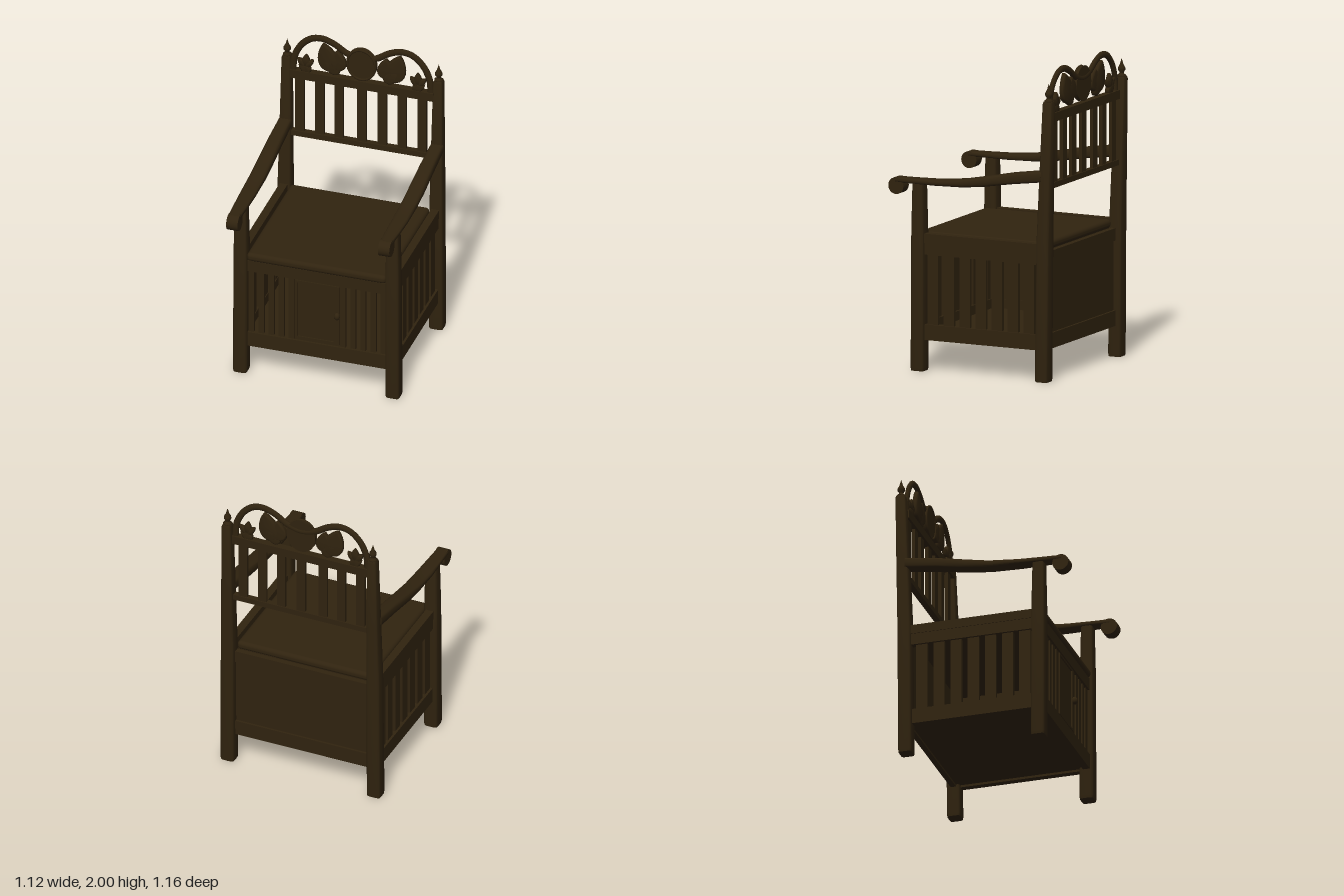
import * as THREE from 'three';
import { toCreasedNormals } from 'three/addons/utils/BufferGeometryUtils.js';
import { RoundedBoxGeometry } from 'three/addons/geometries/RoundedBoxGeometry.js';

const darkWood = new THREE.MeshStandardMaterial({ color: 0x30230f });
darkWood.name = 'darkWood';

export function createModel() {
  const chair = new THREE.Group();
  chair.name = 'armchair';

  function add(name, geometry, x = 0, y = 0, z = 0, parent = chair) {
    const mesh = new THREE.Mesh(geometry, darkWood);
    mesh.name = name;
    mesh.position.set(x, y, z);
    parent.add(mesh);
    return mesh;
  }

  // Box given by its extents
  function box(name, x0, x1, y0, y1, z0, z1, parent = chair) {
    return add(name, new THREE.BoxGeometry(x1 - x0, y1 - y0, z1 - z0),
      (x0 + x1) / 2, (y0 + y1) / 2, (z0 + z1) / 2, parent);
  }

  // Loft of rounded rectangles along y: rows of [y, x, z, width, depth]
  function loft(rows, power = 0.35) {
    const n = 20, pos = [], index = [];
    for (const [y, x, z, w, d] of rows) {
      for (let i = 0; i < n; i++) {
        const a = (i / n) * Math.PI * 2, c = Math.cos(a), s = Math.sin(a);
        pos.push(x + Math.sign(c) * Math.abs(c) ** power * w / 2, y,
          z + Math.sign(s) * Math.abs(s) ** power * d / 2);
      }
    }
    for (let r = 0; r < rows.length - 1; r++) {
      for (let i = 0; i < n; i++) {
        const a = r * n + i, b = r * n + (i + 1) % n;
        index.push(a, a + n, b, b, a + n, b + n);
      }
    }
    const last = (rows.length - 1) * n;
    for (let i = 1; i < n - 1; i++) {
      index.push(0, i, i + 1, last, last + i + 1, last + i);
    }
    const g = new THREE.BufferGeometry();
    g.setAttribute('position', new THREE.Float32BufferAttribute(pos, 3));
    g.setIndex(index);
    return toCreasedNormals(g, 0.7);
  }

  // Thin carved shape with softened edges, centred on its own z
  function carve(shape, depth, bevel) {
    const g = new THREE.ExtrudeGeometry(shape, {
      depth, bevelEnabled: true, bevelSize: bevel, bevelOffset: -bevel,
      bevelThickness: bevel, bevelSegments: 3, curveSegments: 10,
    });
    g.translate(0, 0, -depth / 2);
    return toCreasedNormals(g, 0.8);
  }

  // Pointed oval leaf, base at the origin, tip at +y
  function leaf(length, width) {
    const s = new THREE.Shape();
    s.moveTo(0, 0);
    s.bezierCurveTo(width * 0.8, length * 0.1, width * 0.6, length * 0.7, 0, length);
    s.bezierCurveTo(-width * 0.6, length * 0.7, -width * 0.8, length * 0.1, 0, 0);
    return carve(s, 0.012, 0.01);
  }

  const finialProfile = [[0, 0], [0.026, 0], [0.028, 0.012], [0.014, 0.022], [0.014, 0.03],
    [0.024, 0.045], [0.023, 0.06], [0.012, 0.08], [0.006, 0.1], [0, 0.12]]
    .map(([x, y]) => new THREE.Vector2(x, y));

  for (const s of [1, -1]) {
    const side = new THREE.Group();
    side.name = s > 0 ? 'leftSide' : 'rightSide';
    chair.add(side);

    // Legs and leaning back posts
    add('frontLeg', loft([[0, s * 0.508, 0.373, 0.088, 0.088], [0.02, s * 0.508, 0.373, 0.096, 0.094],
      [0.9, s * 0.506, 0.373, 0.092, 0.088], [1.215, s * 0.506, 0.373, 0.078, 0.076]]), 0, 0, 0, side);
    add('backPost', loft([[0, s * 0.508, -0.51, 0.09, 0.085], [0.02, s * 0.508, -0.51, 0.096, 0.09],
      [0.9, s * 0.506, -0.518, 0.09, 0.088], [1.3, s * 0.505, -0.53, 0.078, 0.08],
      [1.79, s * 0.505, -0.545, 0.062, 0.066], [1.805, s * 0.505, -0.545, 0.052, 0.056]]), 0, 0, 0, side);
    add('finial', new THREE.LatheGeometry(finialProfile, 16), s * 0.505, 1.8, -0.545, side);

    // Curved armrest, lofted along z and ending in a scroll
    const arm = loft([[-0.51, s * 0.506, -1.322, 0.085, 0.075], [-0.3, s * 0.507, -1.292, 0.094, 0.072],
      [-0.1, s * 0.508, -1.255, 0.1, 0.064], [0.05, s * 0.508, -1.232, 0.102, 0.052],
      [0.25, s * 0.508, -1.22, 0.1, 0.038], [0.4, s * 0.507, -1.218, 0.09, 0.034],
      [0.53, s * 0.506, -1.217, 0.078, 0.034]], 0.5);
    arm.rotateX(Math.PI / 2);
    add('armrest', arm, 0, 0, 0, side);
    const scroll = new THREE.CylinderGeometry(0.054, 0.054, 0.076, 24);
    scroll.rotateZ(Math.PI / 2);
    add('armScroll', scroll, s * 0.506, 1.18, 0.524, side);

    // Slatted side between two rails
    const x0 = s * 0.505 - 0.022, x1 = x0 + 0.044;
    box('sideTopRail', x0, x1, 0.75, 0.835, -0.49, 0.35, side);
    box('sideTopMoulding', x0 - 0.004, x1 + 0.004, 0.825, 0.885, -0.49, 0.35, side);
    box('sideBottomRail', x0, x1, 0.2, 0.3, -0.49, 0.35, side);
    for (let i = 0; i < 7; i++) {
      const z = 0.278 - i * 0.1142;
      box('sideSlat', s * 0.5 - 0.012, s * 0.5 + 0.012, 0.29, 0.76, z - 0.037, z + 0.037, side);
    }

    // Narrow slats beside the door
    for (let i = 0; i < 5; i++) {
      const x = s * (0.172 + i * 0.067);
      box('frontSlat', x - 0.018, x + 0.018, 0.29, 0.76, 0.365, 0.385, side);
    }

    // Carved leaves in the crest
    const leaves = [
      ['largeLeaf', 0.2, 1.745, 0.21, 0.13, 0.28], ['innerLeaf', 0.15, 1.76, 0.15, 0.1, 0.1],
      ['lowerLeaf', 0.15, 1.74, 0.13, 0.08, 0.85],
      ['smallLeaf', 0.375, 1.755, 0.088, 0.05, -0.05], ['smallLeaf', 0.375, 1.755, 0.075, 0.04, 0.8],
      ['smallLeaf', 0.375, 1.755, 0.075, 0.04, -0.8], ['footLeaf', 0.34, 1.72, 0.09, 0.06, 1.1],
    ];
    for (const [name, x, y, length, width, tilt] of leaves) {
      const mesh = add(name, leaf(length, width), s * x, y, -0.525, side);
      mesh.rotation.z = -s * tilt;
    }
    const stem = new THREE.CylinderGeometry(0.01, 0.014, 0.06, 8);
    add('leafStem', stem, s * 0.37, 1.74, -0.525, side);
  }

  // Seat and box beneath it
  add('seat', new RoundedBoxGeometry(0.93, 0.058, 0.905, 4, 0.025), 0, 0.857, -0.043);
  box('seatBase', -0.46, 0.46, 0.81, 0.835, -0.48, 0.385);
  box('frontTopRail', -0.47, 0.47, 0.75, 0.83, 0.355, 0.397);
  box('frontBottomRail', -0.47, 0.47, 0.2, 0.3, 0.355, 0.4);
  box('floor', -0.49, 0.49, 0.215, 0.24, -0.5, 0.37);
  box('backPanel', -0.47, 0.47, 0.22, 0.83, -0.51, -0.49);
  box('backTopRail', -0.47, 0.47, 0.75, 0.83, -0.525, -0.49);
  box('backBottomRail', -0.47, 0.47, 0.2, 0.3, -0.525, -0.49);

  // Door with frame and knob
  box('doorPanel', -0.15, 0.155, 0.3, 0.75, 0.368, 0.385);
  box('doorFrameTop', -0.145, 0.15, 0.728, 0.742, 0.38, 0.394);
  box('doorFrameBottom', -0.145, 0.15, 0.315, 0.33, 0.38, 0.394);
  box('doorFrameHingeSide', -0.145, -0.13, 0.315, 0.742, 0.38, 0.394);
  box('doorFrameKnobSide', 0.115, 0.15, 0.315, 0.742, 0.38, 0.394);
  const knob = add('doorKnob', new THREE.SphereGeometry(0.02, 16, 12), 0.138, 0.53, 0.402);
  knob.scale.y = 1.3;

  // Backrest rails and slats, following the lean of the posts
  box('backrestLowerRail', -0.48, 0.48, 1.236, 1.272, -0.545, -0.505);
  box('backrestUpperRail', -0.48, 0.48, 1.663, 1.72, -0.55, -0.502);
  for (const x of [-0.413, -0.28, -0.152, 0, 0.137, 0.268, 0.402]) {
    box('backrestSlat', x - 0.029, x + 0.029, 1.26, 1.67, -0.538, -0.516);
  }

  // Double-arched crest with a central medallion
  const half = [[0.46, 1.71], [0.45, 1.81], [0.405, 1.905], [0.335, 1.965], [0.26, 1.977],
    [0.18, 1.95], [0.1, 1.9]];
  const path = [...half, [0, 1.875], ...half.map(([x, y]) => [-x, y]).reverse()];
  const curve = new THREE.CatmullRomCurve3(path.map(([x, y]) => new THREE.Vector3(x, y, 0)));
  const crest = add('crestArch', new THREE.TubeGeometry(curve, 80, 0.022, 10), 0, 0, -0.525);
  crest.scale.z = 0.7;

  const disc = new THREE.CylinderGeometry(0.095, 0.1, 0.028, 40);
  disc.rotateX(Math.PI / 2);
  add('medallion', disc, 0, 1.84, -0.523).scale.y = 1.15;
  const rim = add('medallionRim', new THREE.TorusGeometry(0.093, 0.008, 8, 40), 0, 1.84, -0.51);
  rim.scale.y = 1.15;

  return chair;
}
